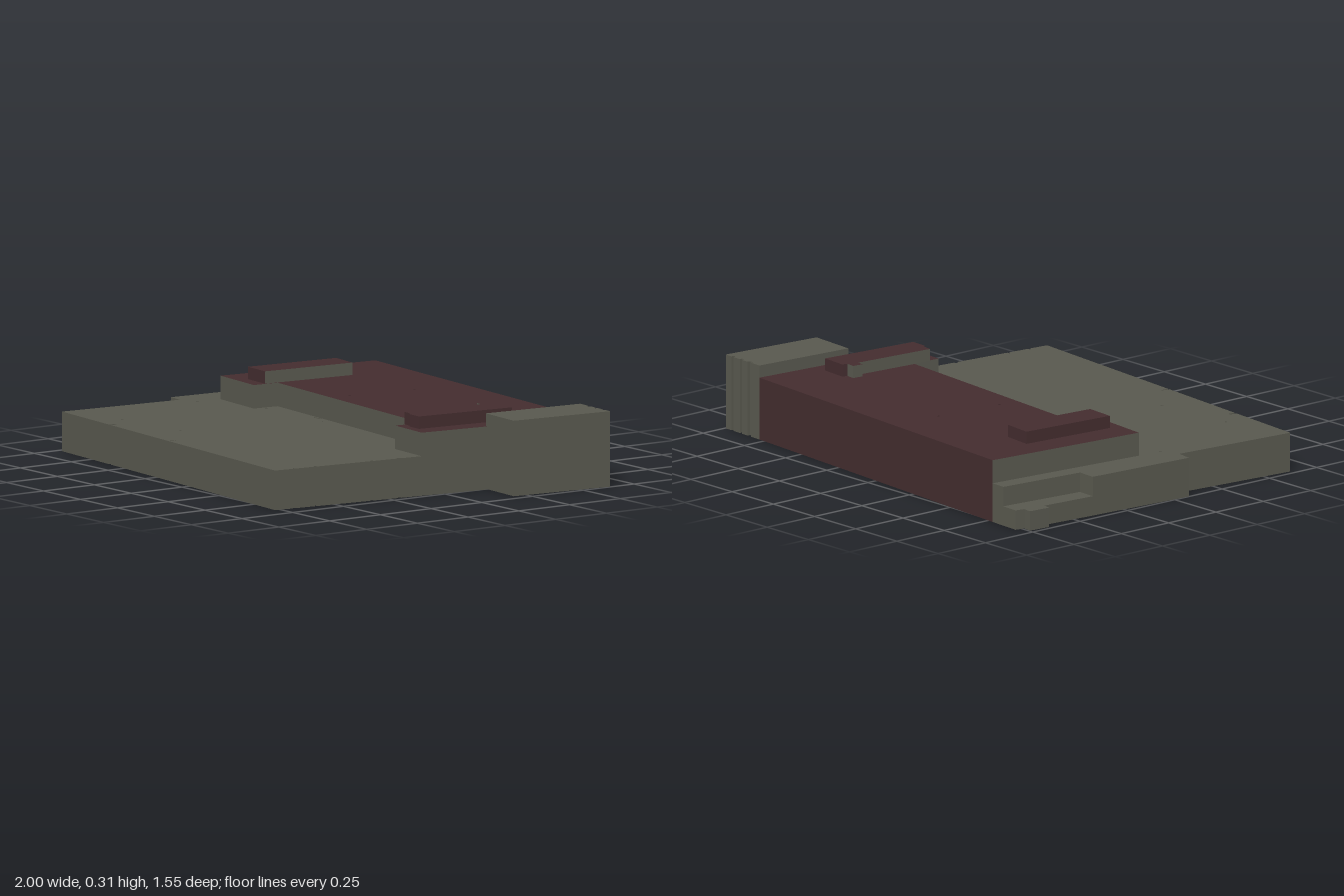
import * as THREE from 'three';

const GROUND = 0, ANNEX = 0.08, LOW = 0.16, MID = 0.255, HIGH = 0.305;

// All plans are [x, z] points running front -> +x side -> back -> -x side.
function roof(plan, y, holes = []) {
  const toPoints = list => list.map(([x, z]) => new THREE.Vector2(x, -z));
  const shape = new THREE.Shape(toPoints(plan));
  for (const hole of holes) shape.holes.push(new THREE.Path(toPoints(hole)));
  return new THREE.ShapeGeometry(shape).rotateX(-Math.PI / 2).translate(0, y, 0);
}

// Vertical strip that follows a line of plan points
function wall(line, y0, y1) {
  const pos = [];
  for (let i = 0; i + 1 < line.length; i++) {
    const [ax, az] = line[i], [bx, bz] = line[i + 1];
    pos.push(ax, y0, az, bx, y0, bz, bx, y1, bz, ax, y0, az, bx, y1, bz, ax, y1, az);
  }
  const geo = new THREE.BufferGeometry();
  geo.setAttribute('position', new THREE.Float32BufferAttribute(pos, 3));
  geo.computeVertexNormals();
  return geo;
}

// Straight edge from a to b (b excluded) with narrow slots [t, width, depth]
function slotted(a, b, slots) {
  const dx = b[0] - a[0], dz = b[1] - a[1], len = Math.hypot(dx, dz);
  const ux = dx / len, uz = dz / len;
  const at = (s, d) => [a[0] + ux * s + uz * d, a[1] + uz * s - ux * d];
  const line = [a];
  for (const [t, w, d] of slots) {
    const s0 = t * len - w / 2, s1 = s0 + w;
    line.push(at(s0, 0), at(s0, d), at(s1, d), at(s1, 0));
  }
  return line;
}

function shaftPlan([x, z, w = 0.01, d = 0.01]) {
  const a = w / 2, b = d / 2;
  return [[x - a, z + b], [x + a, z + b], [x + a, z - b], [x - a, z - b]];
}

const closed = plan => [...plan, plan[0]];

export function createModel() {
  const model = new THREE.Group();
  model.name = 'building';
  const grey = new THREE.MeshStandardMaterial({ color: 0x58584e, side: THREE.DoubleSide });
  grey.name = 'olive grey';
  const red = new THREE.MeshStandardMaterial({ color: 0x432c2e, side: THREE.DoubleSide });
  red.name = 'dark maroon';

  const add = (name, geometry, material) => {
    const mesh = new THREE.Mesh(geometry, material);
    mesh.name = name;
    model.add(mesh);
  };

  // Shared corners
  const frontL = [-0.977, 0.63], frontR = [0.665, 0.775], sideR = [0.73, 0.10];
  const backR = [0.78, -0.645], backL = [-0.78, -0.77];
  const towerFront = [0.745, -0.205];
  const stepBack = [-0.85, -0.775], stepIn = [-0.885, -0.40], stepOut = [-0.968, -0.405];

  // Front edge of the middle block, with a short wing at each end
  const wings = [[-0.845, -0.055], [-0.585, -0.03], [-0.575, -0.14], [0.54, -0.04], [0.53, 0.085], sideR];

  // Low front hall
  const frontEdge = slotted(frontL, frontR, [[0.225, 0.014, 0.03], [0.5, 0.008, 0.035]]);
  const rightEdge = slotted(frontR, sideR, [
    [0.13, 0.01, 0.012], [0.28, 0.01, 0.012], [0.66, 0.016, 0.01], [0.85, 0.016, 0.01]]);
  const leftEdge = [stepOut, [-1.0, 0.075], [-0.93, 0.085], frontL];
  const lowShafts = [[-0.56, -0.075], [-0.175, -0.07], [-0.85, 0.055], [-0.685, 0.545],
    [-0.325, 0.52], [-0.25, -0.1, 0.05, 0.01]].map(shaftPlan);
  const lowPlan = [...frontEdge, ...rightEdge, ...[...wings].reverse(),
    backL, stepBack, stepIn, ...leftEdge.slice(0, -1)];
  add('lowRoof', roof(lowPlan, LOW, lowShafts), grey);
  add('lowOuterWall', wall([...leftEdge, ...frontEdge.slice(1), ...rightEdge, sideR], GROUND, LOW), grey);
  add('lowBackWall', wall([backL, stepBack], GROUND, LOW), grey);
  add('annexStepWall', wall([stepBack, stepIn, stepOut], ANNEX, LOW), grey);
  for (const shaft of lowShafts) add('lowShaft', wall(closed([...shaft].reverse()), GROUND, LOW), grey);

  // Small low annex at the back corner
  const annexPlan = [stepBack, [-0.93, -0.78], [-0.937, -0.74], [-0.977, -0.745],
    [-0.985, -0.65], [-0.95, -0.645], stepOut, stepIn];
  add('annexRoof', roof(annexPlan, ANNEX), grey);
  add('annexWall', wall(annexPlan.slice(0, 7), GROUND, ANNEX), grey);

  // Rooftop boxes: grey on their inner long side, maroon elsewhere
  const boxL = [[-0.715, -0.095], [-0.585, -0.085], [-0.55, -0.49], [-0.68, -0.505]];
  const boxR = [[0.525, 0.035], [0.565, 0.04], [0.58, 0.052], [0.65, 0.055], [0.69, -0.375],
    [0.575, -0.385], [0.57, -0.362], [0.53, -0.367], [0.525, -0.322], [0.555, -0.318]];
  add('leftRoofBoxTop', roof(boxL, HIGH), red);
  add('leftRoofBoxInnerSide', wall(boxL.slice(1, 3), MID, HIGH), grey);
  add('leftRoofBoxSides', wall([...boxL.slice(2), ...boxL.slice(0, 2)], MID, HIGH), red);
  add('rightRoofBoxTop', roof(boxR, HIGH), red);
  add('rightRoofBoxSides', wall(boxR.slice(0, 7), MID, HIGH), red);
  add('rightRoofBoxInnerSide', wall([...boxR.slice(6), boxR[0]], MID, HIGH), grey);

  // Middle block: maroon roof and back wall, grey front and sides
  const midSide = [sideR, [0.762, -0.2], towerFront];
  const midShafts = [[-0.13, -0.49], [-0.155, -0.19]].map(shaftPlan);
  const midPlan = [...wings, ...midSide.slice(1), backR, backL];
  add('middleRoof', roof(midPlan, MID, [boxL, boxR, ...midShafts]), red);
  add('middleFrontWall', wall([backL, ...wings], LOW, MID), grey);
  add('middleSideWall', wall(midSide, GROUND, MID), grey);
  add('middleBackWall', wall([backR, backL], GROUND, MID), red);
  for (const shaft of midShafts) add('middleShaft', wall(closed([...shaft].reverse()), GROUND, MID), red);

  // Tall block on the side, with slots in its back wall
  const towerBackEdge = slotted([0.995, -0.635], backR,
    [[0.2, 0.014, 0.012], [0.45, 0.014, 0.012], [0.7, 0.02, 0.012]]);
  const towerPlan = [towerFront, [0.955, -0.19], ...towerBackEdge, backR];
  add('towerRoof', roof(towerPlan, HIGH), grey);
  add('towerOuterWall', wall(towerPlan, GROUND, HIGH), grey);
  add('towerInnerWall', wall([backR, towerFront], MID, HIGH), grey);

  return model;
}
